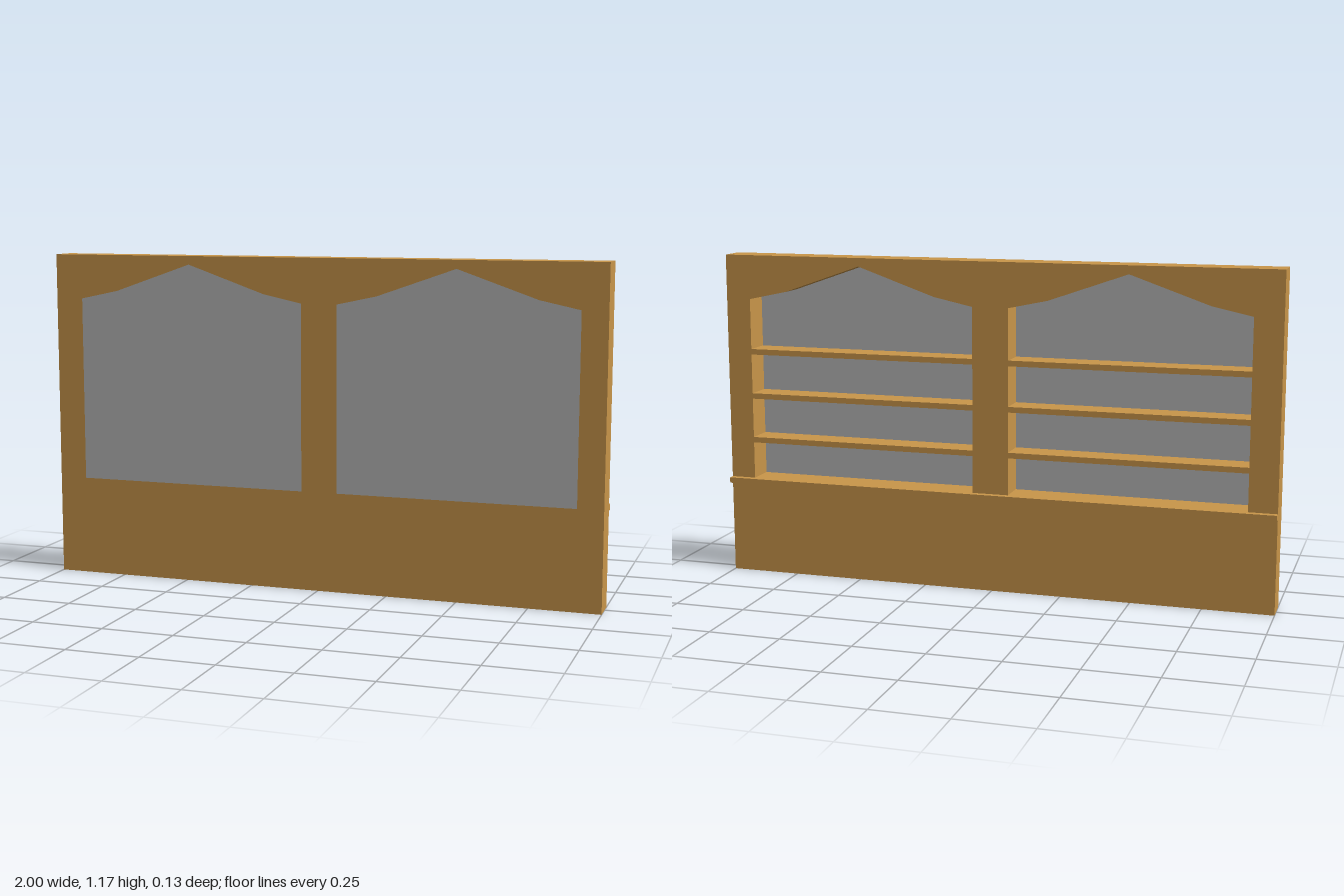
import * as THREE from 'three';

export function createModel() {
  const wood = new THREE.MeshStandardMaterial({ color: 0xc9964a });
  wood.name = 'wood';
  const grey = new THREE.MeshStandardMaterial({ color: 0xb8b8b8 });
  grey.name = 'grey panel';

  const model = new THREE.Group();
  model.name = 'panelledWall';

  const height = 1.17, back = -0.04, front = 0.063;
  const sillY = 0.353, halfWidth = 0.42, centres = [-0.48, 0.49];

  function add(name, geometry, material, x = 0, y = 0, z = 0) {
    const mesh = new THREE.Mesh(geometry, material);
    mesh.name = name;
    mesh.position.set(x, y, z);
    model.add(mesh);
  }

  // Outline of one opening with a pointed, slightly hollow arch
  const openingPoints = (cx) => [
    [-halfWidth, sillY], [halfWidth, sillY], [halfWidth, 1.012],
    [0.28, 1.042], [0, 1.14], [-0.28, 1.042], [-halfWidth, 1.012],
  ].map(([x, y]) => new THREE.Vector2(cx + x, y));

  // Wall with two openings through it
  const wall = new THREE.Shape([
    new THREE.Vector2(-1, 0), new THREE.Vector2(1, 0),
    new THREE.Vector2(1, height), new THREE.Vector2(-1, height),
  ]);
  centres.forEach((cx) => wall.holes.push(new THREE.Path(openingPoints(cx).reverse())));
  add('wall', new THREE.ExtrudeGeometry(wall, { depth: front - back, bevelEnabled: false }), wood, 0, 0, back);

  centres.forEach((cx, i) => {
    const side = i === 0 ? 'right' : 'left';

    // Grey panel flush with the front of the wall
    const panel = new THREE.ExtrudeGeometry(new THREE.Shape(openingPoints(cx)), { depth: 0.004, bevelEnabled: false });
    add(side + 'Panel', panel, grey, cx, 0, front - 0.004);
    panel.translate(-cx, 0, 0);

    // Three shelves, open to the back
    const depth = front - 0.004 - back;
    for (let n = 1; n <= 3; n++) {
      add(side + 'Shelf' + n, new THREE.BoxGeometry(halfWidth * 2, 0.02, depth), wood,
        cx, sillY - 0.02 + n * 0.1625, back + depth / 2);
    }
  });

  // Narrow ledge along the back, level with the sills
  add('backLedge', new THREE.BoxGeometry(2, 0.02, 0.023), wood, 0, sillY - 0.01, back - 0.0115);

  return model;
}
